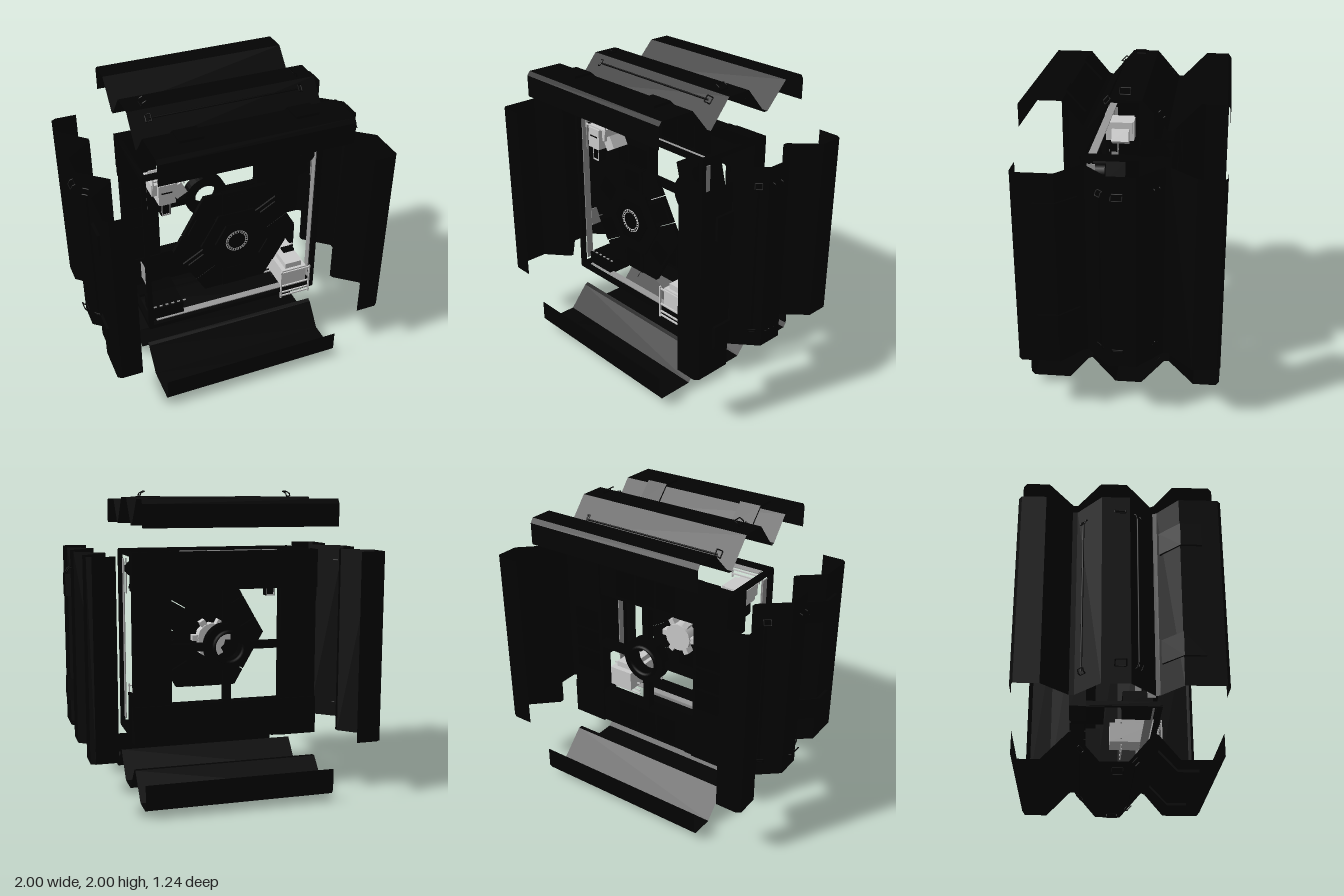
import * as THREE from 'three';

const mat = (name, color, side = THREE.FrontSide) => {
  const m = new THREE.MeshStandardMaterial({ color, side });
  m.name = name;
  return m;
};

export function createModel() {
  const sheetBlack = mat('panel black', 0x030303, THREE.DoubleSide);
  const black = mat('frame black', 0x020202);
  const trim = mat('trim black', 0x010101);
  const grey = mat('machine grey', 0xcccccc);
  const darkGrey = mat('rail grey', 0x9a9a9a);

  const model = new THREE.Group();
  const core = new THREE.Group(); // everything is laid out around the centre axis
  core.name = 'core';
  core.position.y = 1;
  model.add(core);

  const add = (parent, name, geo, m, x = 0, y = 0, z = 0) => {
    const mesh = new THREE.Mesh(geo, m);
    mesh.name = name;
    mesh.position.set(x, y, z);
    parent.add(mesh);
    return mesh;
  };
  const box = (parent, name, w, h, d, m, x, y, z) =>
    add(parent, name, new THREE.BoxGeometry(w, h, d), m, x, y, z);
  const rod = (parent, name, points, r, m) => {
    const path = new THREE.CurvePath();
    points.slice(1).forEach((p, i) => path.add(new THREE.LineCurve3(
      new THREE.Vector3(...points[i]), new THREE.Vector3(...p))));
    return add(parent, name, new THREE.TubeGeometry(path, (points.length - 1) * 6, r, 6), m);
  };

  // Folded sheet from a (z, y) profile swept along x
  const foldedSheet = (profile, half) => {
    const pos = [];
    for (let i = 0; i + 1 < profile.length; i++) {
      const [za, ya] = profile[i], [zb, yb] = profile[i + 1];
      pos.push(-half, ya, za, half, ya, za, half, yb, zb, -half, ya, za, half, yb, zb, -half, yb, zb);
    }
    const g = new THREE.BufferGeometry();
    g.setAttribute('position', new THREE.Float32BufferAttribute(pos, 3));
    g.computeVertexNormals();
    return g;
  };
  // Solid strip from a closed (z, y) outline
  const strip = (outline, width) => {
    const s = new THREE.Shape(outline.map(p => new THREE.Vector2(...p)));
    return new THREE.ExtrudeGeometry(s, { depth: width, bevelEnabled: false })
      .translate(0, 0, -width / 2).rotateY(-Math.PI / 2);
  };
  // Curved grab handle standing on a surface at (y, z), tilted about x
  const grabHandle = (parent, s, w, h, y, z, tilt) => {
    const pts = [[0.515, 0, -w], [0.51, 0.6 * h, -w], [0.485, h, -w],
      [0.485, h, w], [0.51, 0.6 * h, w], [0.515, 0, w], [0.515, 0, -w]];
    const handle = rod(parent, 'grabHandle', pts.map(([px, py, pz]) => [px * s, py, pz]), 0.004, trim);
    handle.position.set(0, y, z);
    handle.rotation.x = tilt;
  };

  // Four detached cladding panels
  const profile = [[0.62, 0.78], [0.62, 0.92], [0.6, 0.945], [0.36, 0.945], [0.235, 0.795], [0.21, 0.785],
    [0.06, 0.96], [-0.11, 0.96], [-0.26, 0.785], [-0.29, 0.785], [-0.45, 0.95], [-0.6, 0.95],
    [-0.62, 0.92], [-0.62, 0.78]];
  const cover = [[0.49, 0.945], [0.36, 0.945], [0.25, 0.825], [0.243, 0.838], [0.362, 0.962], [0.49, 0.962]];
  for (let k = 0; k < 4; k++) {
    const panel = new THREE.Group();
    panel.name = 'claddingPanel';
    panel.rotation.z = k * Math.PI / 2;
    core.add(panel);
    add(panel, 'foldedSheet', foldedSheet(profile, 0.62), sheetBlack);
    for (const s of [-1, 1]) {
      add(panel, 'coverPlate', strip(cover, 0.15), sheetBlack, s * 0.365);
      grabHandle(panel, s, 0.033, 0.032, 0.964, 0, 0);
      grabHandle(panel, s, 0.022, 0.022, 0.916, 0.102, 0.83);
      grabHandle(panel, s, 0.022, 0.022, 0.845, -0.212, -0.86);
    }
    // Long hand rails on both slopes of the ridge
    rod(panel, 'frontRail', [[-0.5, 0.92, 0.108], [0.5, 0.92, 0.108]], 0.006, trim);
    rod(panel, 'backRail', [[-0.5, 0.845, -0.222], [0.5, 0.845, -0.222]], 0.006, trim);
  }

  // Square rear frame: four beams and four corner blocks, with a light cage in front
  for (let k = 0; k < 4; k++) {
    const side = new THREE.Group();
    side.name = 'frameSide';
    side.rotation.z = k * Math.PI / 2;
    core.add(side);
    box(side, 'beam', 0.76, 0.245, 0.08, black, 0, 0.4925, -0.24);
    box(side, 'cornerBlock', 0.25, 0.25, 0.1, black, 0.495, 0.495, -0.24);
    box(side, 'cornerLip', 0.3, 0.02, 0.2, trim, 0.46, 0.61, -0.18);
    for (const x of [-0.16, 0, 0.16]) {
      box(side, 'beamPlate', 0.135, 0.18, 0.016, trim, x, 0.49, -0.196);
      box(side, 'backBeamPlate', 0.135, 0.18, 0.016, trim, x, 0.49, -0.284);
    }
    box(side, 'cageRail', 1.22, 0.03, 0.03, black, 0, 0.6, 0.25);
    box(side, 'cageStrip', 1.1, 0.006, 0.05, darkGrey, 0, 0.589, 0.2);
    box(side, 'cagePost', 0.03, 0.03, 0.44, black, 0.6, 0.6, 0.03);
    // Strut carrying the rear hub
    box(side, 'hubStrut', 0.05, 0.26, 0.05, black, 0, 0.25, -0.26);
  }

  // Front iris: a hexagonal hub, six petals and six filler wedges
  const iris = new THREE.Group();
  iris.name = 'iris';
  iris.position.z = 0.25;
  core.add(iris);
  const plate = (pts, depth) => new THREE.ExtrudeGeometry(
    new THREE.Shape(pts.map(p => new THREE.Vector2(...p))), { depth, bevelEnabled: false });
  const hex = r => Array.from({ length: 6 }, (_, i) =>
    [r * Math.cos(i * Math.PI / 3), r * Math.sin(i * Math.PI / 3)]);
  add(iris, 'hexHub', plate(hex(0.245), 0.04), black);
  add(iris, 'hubCollar', plate(hex(0.15), 0.02), trim, 0, 0, 0.035);
  for (let i = 0; i < 6; i++) {
    const arm = new THREE.Group();
    arm.name = 'irisArm';
    arm.rotation.z = Math.PI / 6 + i * Math.PI / 3;
    iris.add(arm);
    add(arm, 'petal', plate([[0.2, -0.087], [0.372, -0.087], [0.372, 0.087], [0.2, 0.087]], 0.03), black);
    add(arm, 'petalRib', plate([[0.23, -0.06], [0.35, -0.06], [0.35, 0.06], [0.23, 0.06]], 0.012), trim, 0, 0, 0.028);
    const c = Math.cos(Math.PI / 6), n = Math.sin(Math.PI / 6);
    add(arm, 'wedge', plate([[0.2, 0.094], [0.372, 0.094], [0.43 * c, 0.43 * n],
      [0.372 * n + 0.094 * c, 0.372 * c - 0.094 * n],
      [0.2 * n + 0.094 * c, 0.2 * c - 0.094 * n]], 0.025), black);
    // The upright petals have closed joints
    if (i % 3 === 1) box(arm, 'petalBacking', 0.17, 0.2, 0.01, trim, 0.287, 0, -0.004);
  }
  // Toothed centre ring
  add(iris, 'centreRing', new THREE.RingGeometry(0.059, 0.08, 40), grey, 0, 0, 0.057);
  for (let i = 0; i < 24; i++) {
    const a = i * Math.PI / 12;
    box(iris, 'ringTooth', 0.011, 0.006, 0.006, trim, 0.069 * Math.cos(a), 0.069 * Math.sin(a), 0.058).rotation.z = a;
  }
  // Grey drive unit behind the iris
  const drive = new THREE.Group();
  drive.name = 'driveUnit';
  drive.position.z = 0.12;
  core.add(drive);
  add(drive, 'driveBody', new THREE.CylinderGeometry(0.1, 0.1, 0.08, 12).rotateX(Math.PI / 2), grey);
  add(drive, 'driveShaft', new THREE.CylinderGeometry(0.05, 0.05, 0.1, 12).rotateX(Math.PI / 2), black, 0, 0, 0.09);
  for (let i = 0; i < 6; i++) {
    const a = i * Math.PI / 3;
    box(drive, 'driveLobe', 0.05, 0.04, 0.06, grey, 0.11 * Math.cos(a), 0.11 * Math.sin(a), 0).rotation.z = a;
  }

  // Rear ring hub
  const ringShape = new THREE.Shape().absarc(0, 0, 0.155, 0, Math.PI * 2);
  ringShape.holes.push(new THREE.Path().absarc(0, 0, 0.085, 0, Math.PI * 2, true));
  add(core, 'rearHub', new THREE.ExtrudeGeometry(ringShape, { depth: 0.07, bevelEnabled: false, curveSegments: 20 }), black, 0, 0, -0.31);
  add(core, 'rearHubRim', new THREE.TorusGeometry(0.1, 0.014, 6, 28), trim, 0, 0, -0.315);

  // Upper right machine: stepped grey unit with an arm and a bracket
  const upper = new THREE.Group();
  upper.name = 'upperMachine';
  upper.position.set(-0.43, 0.43, 0.13);
  core.add(upper);
  box(upper, 'machineBody', 0.17, 0.08, 0.16, grey, -0.02, 0.035, 0);
  box(upper, 'machineHead', 0.11, 0.14, 0.2, grey, -0.015, 0.005, 0.01);
  box(upper, 'machineGroove', 0.07, 0.008, 0.004, trim, -0.015, 0.02, 0.111);
  box(upper, 'machineWing', 0.08, 0.09, 0.12, grey, 0.08, -0.02, 0).rotation.z = 0.5;
  box(upper, 'machineArm', 0.065, 0.11, 0.06, trim, -0.02, -0.105, 0.06);
  for (const y of [-0.075, -0.155]) box(upper, 'armBand', 0.055, 0.012, 0.064, grey, -0.02, y, 0.06);
  for (const s of [-1, 1]) box(upper, 'armEdge', 0.006, 0.08, 0.064, grey, -0.02 + s * 0.026, -0.115, 0.06);
  for (const y of [0.085, 0.115, 0.14]) box(upper, 'machineBar', 0.21, 0.009, 0.01, grey, 0, y, 0.1);
  for (const x of [-0.1, 0.1]) box(upper, 'machineUpright', 0.008, 0.08, 0.01, grey, x, 0.1, 0.1);

  // Lower left machine: deep grey block in a rod cage
  const lower = new THREE.Group();
  lower.name = 'lowerMachine';
  lower.position.set(0.43, -0.43, 0.2);
  core.add(lower);
  box(lower, 'machineBody', 0.18, 0.14, 0.34, grey, 0, 0, -0.05);
  box(lower, 'machineCap', 0.12, 0.05, 0.28, grey, 0, 0.085, -0.04);
  box(lower, 'machineTop', 0.08, 0.014, 0.05, trim, 0, 0.155, 0);
  for (const s of [-1, 1]) {
    box(lower, 'cagePost', 0.01, 0.23, 0.012, grey, s * 0.105, -0.03, 0.14);
    for (const y of [-0.13, -0.1, -0.045, 0.07]) box(lower, 'cageBar', 0.225, 0.009, 0.01, grey, 0, y, s * 0.14);
  }

  // Upper left dark unit and lower right equipment block
  box(core, 'tiltedUnit', 0.19, 0.2, 0.2, black, 0.44, 0.42, 0.1).rotation.z = 0.25;
  add(core, 'unitDrum', new THREE.CylinderGeometry(0.05, 0.05, 0.1, 16).rotateX(Math.PI / 2), trim, 0.53, 0.48, 0.17);
  box(core, 'equipmentBlock', 0.22, 0.1, 0.18, black, -0.46, -0.55, 0.12);
  for (let i = 0; i < 6; i++) box(core, 'equipmentStud', 0.02, 0.006, 0.01, darkGrey, -0.55 + i * 0.042, -0.49, 0.2);

  // Short service pipes and a small grey side plate
  for (const s of [-1, 1]) rod(core, 'servicePipe', [[s * 0.57, 0.55, 0.2], [s * 0.57, 0.31, 0.2]], 0.005, darkGrey);
  box(core, 'sidePlate', 0.006, 0.13, 0.1, darkGrey, -0.592, -0.24, 0.12);
  return model;
}
